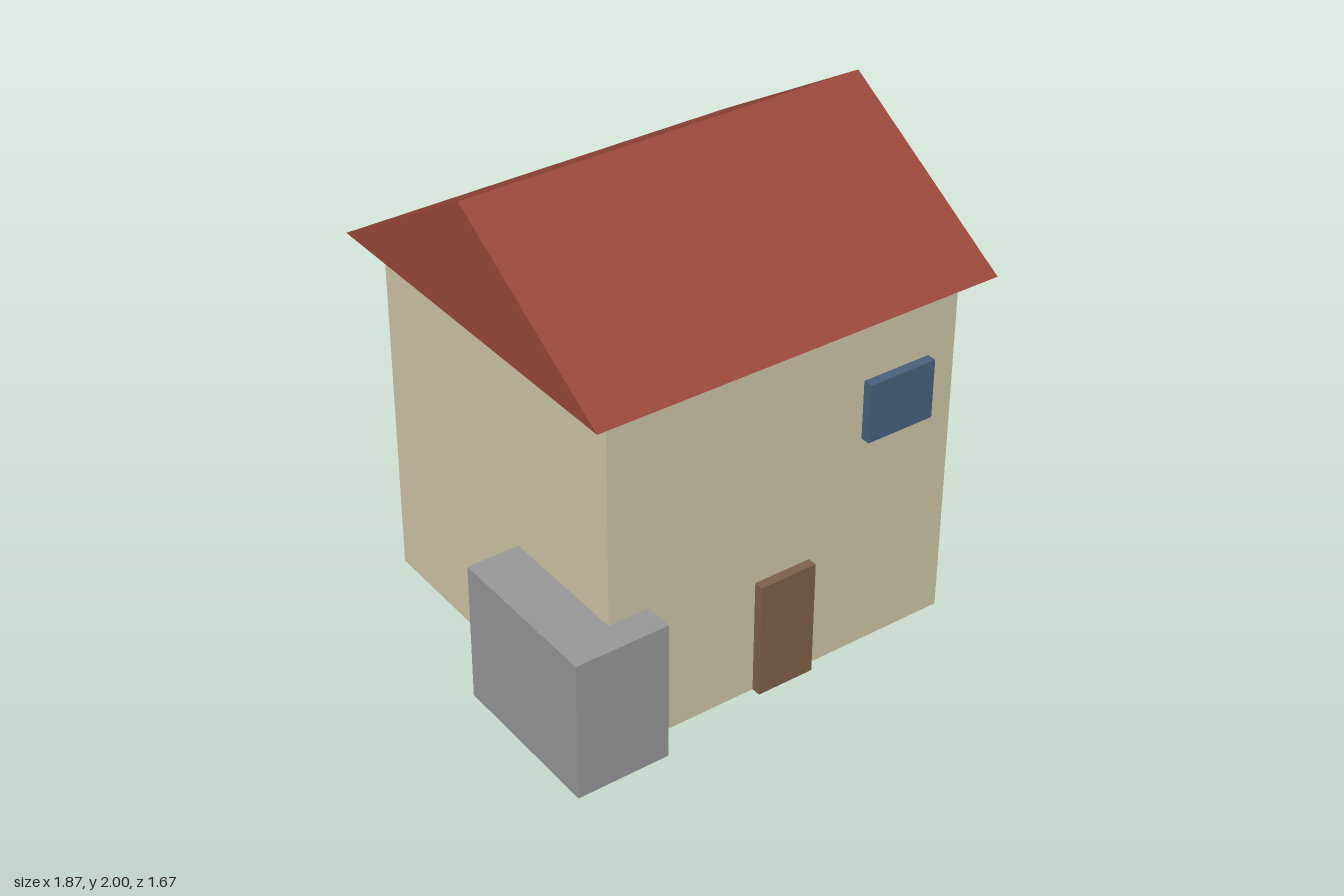
import * as THREE from 'three';

const material = (color, side = THREE.FrontSide) =>
  new THREE.MeshStandardMaterial({ color, side, flatShading: true });

// Box given by its extents along each axis
function box(name, color, [x0, x1], [y0, y1], [z0, z1]) {
  const mesh = new THREE.Mesh(new THREE.BoxGeometry(x1 - x0, y1 - y0, z1 - z0), material(color));
  mesh.position.set((x0 + x1) / 2, (y0 + y1) / 2, (z0 + z1) / 2);
  mesh.name = name;
  return mesh;
}

// Gabled roof: two slopes and two end triangles, open underneath
function gableRoof(x0, x1, y0, y1, z0, z1) {
  const zm = (z0 + z1) / 2;
  const backL = [x1, y0, z0], frontL = [x1, y0, z1], ridgeL = [x1, y1, zm];
  const backR = [x0, y0, z0], frontR = [x0, y0, z1], ridgeR = [x0, y1, zm];
  const triangles = [
    frontR, frontL, ridgeL, frontR, ridgeL, ridgeR, // front slope
    backL, backR, ridgeR, backL, ridgeR, ridgeL,    // back slope
    frontL, backL, ridgeL,                          // left gable
    backR, frontR, ridgeR,                          // right gable
  ];
  const geometry = new THREE.BufferGeometry();
  geometry.setAttribute('position', new THREE.Float32BufferAttribute(triangles.flat(), 3));
  geometry.computeVertexNormals();
  const mesh = new THREE.Mesh(geometry, material(0x99473a, THREE.DoubleSide));
  mesh.name = 'roof';
  return mesh;
}

export function createModel() {
  const house = new THREE.Group();
  house.name = 'house';
  house.add(
    box('walls', 0xcec4a5, [-0.715, 0.835], [0, 1.5], [-0.735, 0.715]),
    gableRoof(-0.815, 0.935, 1.5, 2, -0.835, 0.81),
    box('door', 0x7d6048, [-0.065, 0.185], [0, 0.5], [0.665, 0.755]),
    box('window', 0x48607d, [0.41, 0.71], [0.95, 1.2], [0.665, 0.755]),
    // Block set into the front right corner
    box('cornerBlock', 0x979799, [-0.935, -0.54], [0, 0.6], [0.135, 0.835]),
  );
  return house;
}
